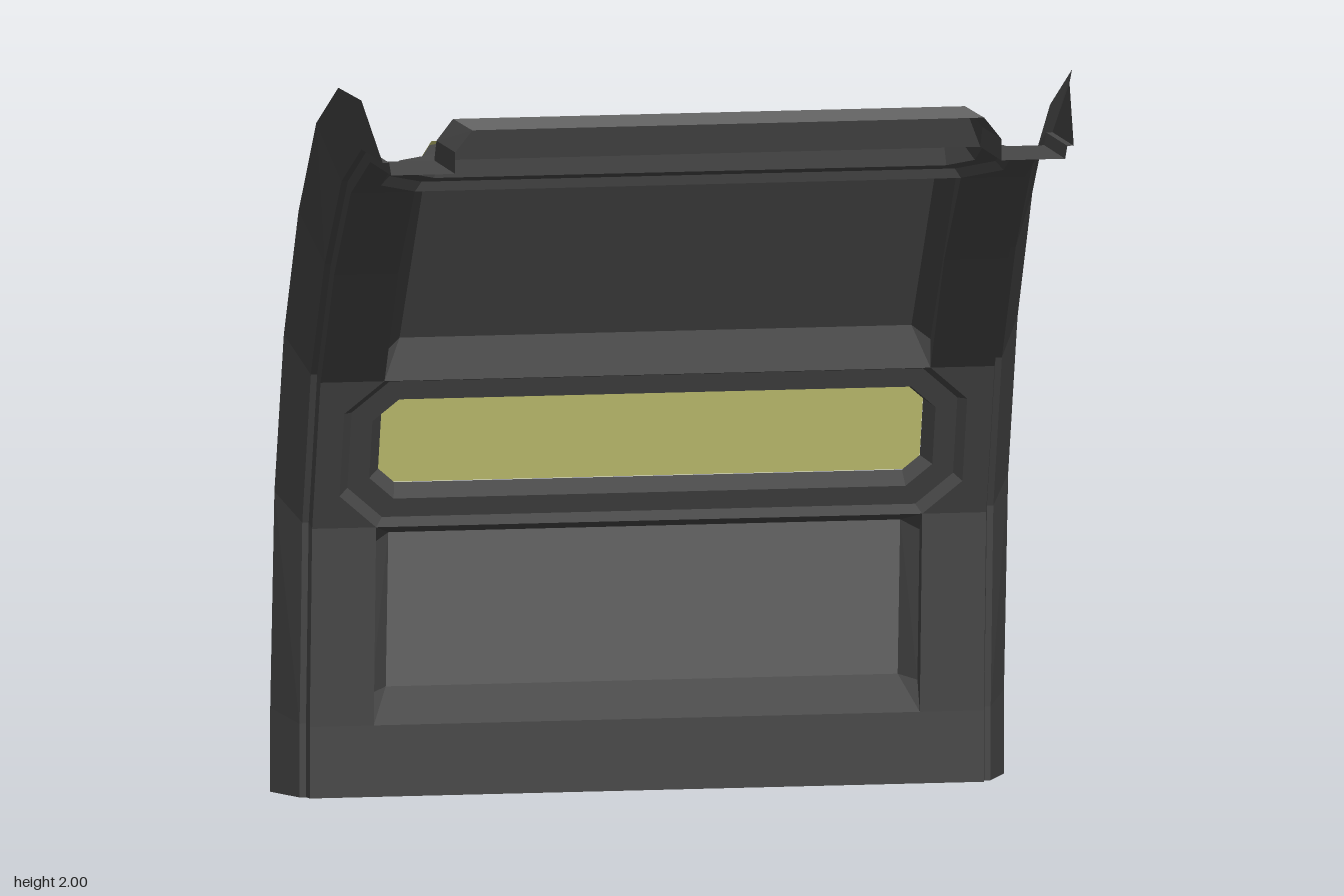
import * as THREE from 'three';

// Side profile as [z, y] stations, bottom to top: inner skin and outer flange edge
const INNER = [[-0.685, 0.02], [-0.685, 0.19], [-0.64, 0.67], [-0.48, 1.05], [-0.22, 1.36], [0.10, 1.62], [0.47, 1.77], [0.87, 1.82]];
const OUTER = [[-0.87, 0], [-0.87, 0.2], [-0.79, 0.73], [-0.61, 1.14], [-0.33, 1.49], [0.01, 1.77], [0.43, 1.94], [0.87, 2.0]];

const paint = (color) => new THREE.MeshStandardMaterial({ color, flatShading: true, side: THREE.DoubleSide });
const lerp = THREE.MathUtils.lerp;

// Point at station t, at fraction h of the way from inner skin to flange edge
function at(x, t, h) {
  const i = Math.min(Math.floor(t), INNER.length - 2), f = t - i;
  const mix = (k) => lerp(lerp(INNER[i][k], INNER[i + 1][k], f), lerp(OUTER[i][k], OUTER[i + 1][k], f), h);
  return new THREE.Vector3(x, mix(1), mix(0));
}

// Flat local frame of one segment: x across, u along, h outward
function segment(i) {
  const [z0, y0] = INNER[i], [z1, y1] = INNER[i + 1];
  const len = Math.hypot(z1 - z0, y1 - y0);
  const dz = (z1 - z0) / len, dy = (y1 - y0) / len;
  const point = (x, u, h) => new THREE.Vector3(x, (y0 + y1) / 2 + dy * u + dz * h, (z0 + z1) / 2 + dz * u - dy * h);
  return { half: len / 2, point };
}

// Quad sheet between successive rows of points
function sheet(name, rows, material) {
  const pos = [];
  const put = (...pts) => pts.forEach((p) => pos.push(p.x, p.y, p.z));
  for (let r = 0; r + 1 < rows.length; r++) {
    for (let c = 0; c + 1 < rows[r].length; c++) {
      const a = rows[r][c], b = rows[r][c + 1], d = rows[r + 1][c], e = rows[r + 1][c + 1];
      put(a, b, e);
      put(a, e, d);
    }
  }
  const geo = new THREE.BufferGeometry();
  geo.setAttribute('position', new THREE.Float32BufferAttribute(pos, 3));
  geo.computeVertexNormals();
  const mesh = new THREE.Mesh(geo, material);
  mesh.name = name;
  return mesh;
}

export function createModel() {
  const model = new THREE.Group();
  model.name = 'curvedWallPanel';
  const dark = paint(0x4a4a4a), grey = paint(0x6a6a6a), yellow = paint(0xe4e486);
  const add = (name, rows, mat) => model.add(sheet(name, rows, mat));

  // Side flanges: small step, ledge, then flared wall
  const flangeRow = (s, t) => [
    at(s * 0.79, t, 0), at(s * 0.795, t, 0.17), at(s * 0.81, t, 0.17),
    at(s > 0 && t === 7 ? 0.80 : s * 0.86, t, 1),
  ];
  for (const s of [-1, 1]) {
    add(s > 0 ? 'leftFlange' : 'rightFlange', INNER.map((_, t) => flangeRow(s, t)), dark);
  }

  // Bottom lip and the plain strip above it
  add('bottomLip', [flangeRow(-1, 0), flangeRow(1, 0)], dark);
  add('bottomStrip', [0, 1].map((t) => [at(-0.79, t, 0), at(0.79, t, 0)]), dark);

  // Boxed-out panels between the windows; [start, end, open end]
  const RISE = 0.57, INSET = 0.13;
  for (const [a, b, open] of [[1, 2, false], [3, 5, false], [6, 7, true]]) {
    const t0 = a + INSET, t1 = open ? b : b - INSET;
    const stations = [t0];
    for (let t = a + 1; t < b; t++) stations.push(t);
    stations.push(t1);

    // Flat face spanned straight from end to end
    const face = (x, t, h) => at(x, t0, h).lerp(at(x, t1, h), (t - t0) / (t1 - t0));
    add('panelFace', [t0, t1].map((t) => [face(-0.6, t, RISE), face(0.6, t, RISE)]), grey);

    // Sloped ends
    const slope = (end, top) => add('panelEnd',
      [[at(-0.64, end, 0), at(0.64, end, 0)], [at(-0.6, top, RISE), at(0.6, top, RISE)]], dark);
    slope(a, t0);
    if (!open) slope(b, t1);

    // Walls with a chamfer, plus the skin beside the box
    for (const s of [-1, 1]) {
      const foot = (t) => at(s * 0.64, t, 0);
      const rows = stations.map((t) => [foot(t), face(s * 0.64, t, RISE / 2), face(s * 0.6, t, RISE)]);
      rows.unshift([foot(a), foot(a), foot(a)]);
      if (!open) rows.push([foot(b), foot(b), foot(b)]);
      add('panelSide', rows, dark);
      const skin = [];
      for (let t = a; t <= b; t++) skin.push([foot(t), at(s * 0.79, t, 0)]);
      add('sideSkin', skin, dark);
    }
  }

  // Windows: stepped octagonal frame with a yellow pane
  for (const i of [2, 5]) {
    const { half, point } = segment(i);
    const ring = (w, l, cut, h) => [
      [w, l - cut], [w - cut, l], [cut - w, l], [-w, l - cut],
      [-w, cut - l], [cut - w, -l], [w - cut, -l], [w, cut - l], [w, l - cut],
    ].map(([x, u]) => point(x, u, h));
    add('windowFrame', [
      ring(0.73, half, 0.09, 0),
      ring(0.71, half - 0.015, 0.085, 0.02),
      ring(0.66, 0.14, 0.06, 0.02),
      ring(0.635, 0.12, 0.04, 0.058),
    ], dark);
    add('windowPane', [-0.12, 0.12].map((u) => [point(-0.635, u, 0.06), point(0.635, u, 0.06)]), yellow);

    // Skin left and right of the octagon
    for (const s of [-1, 1]) {
      const outline = [[0.64, -half], [0.73, 0.09 - half], [0.73, half - 0.09], [0.64, half]];
      add('windowSkin', outline.map(([x, u]) => [point(s * x, u, 0), point(s * 0.79, u, 0)]), dark);
    }
  }
  return model;
}
